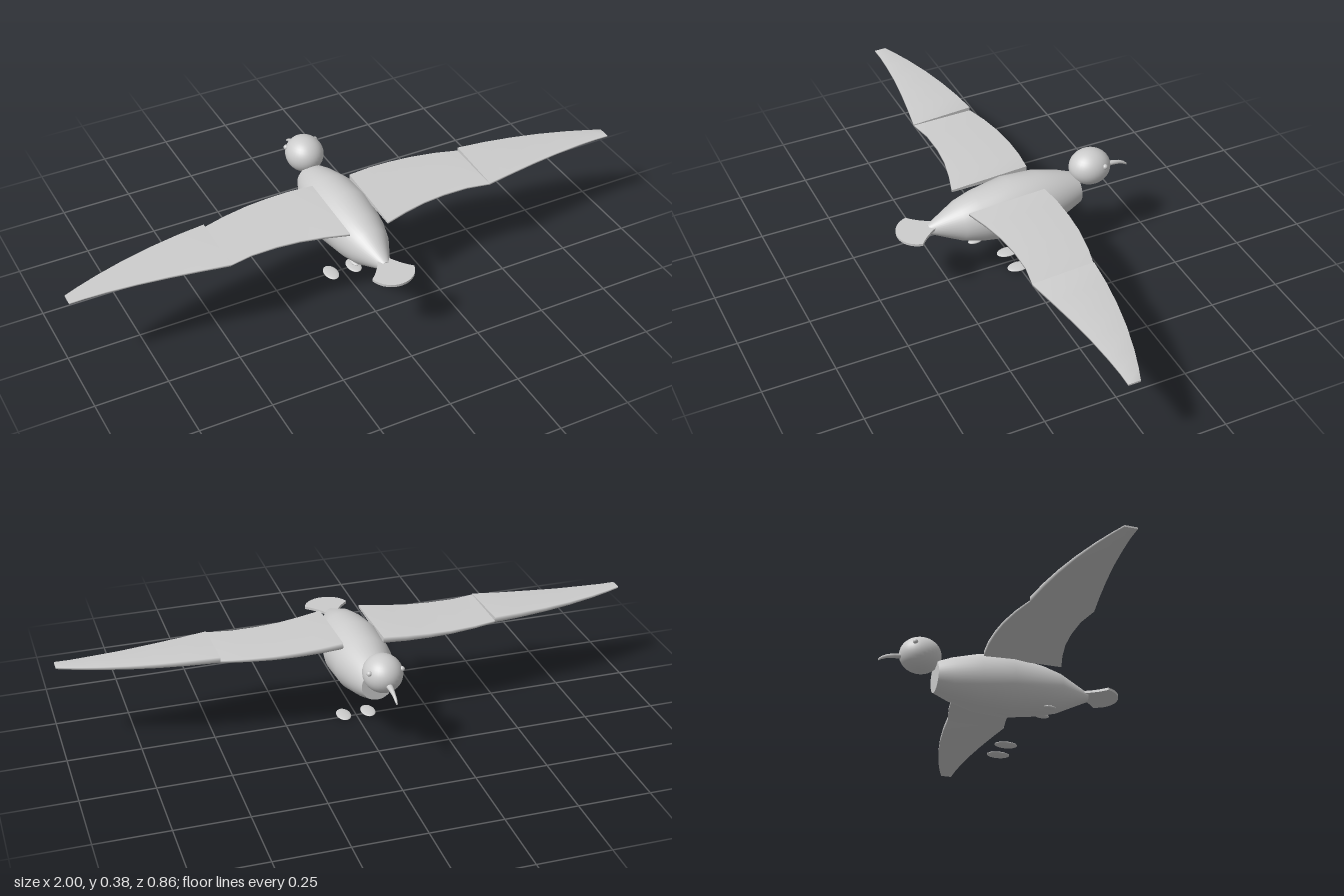
import * as THREE from 'three';

const plumage = new THREE.MeshStandardMaterial({ color: 0xcccccc });
plumage.name = 'pale grey';

function part(name, geometry, x = 0, y = 0, z = 0) {
  const mesh = new THREE.Mesh(geometry, plumage);
  mesh.name = name;
  mesh.position.set(x, y, z);
  return mesh;
}

function ellipsoid(name, rx, ry, rz, x, y, z) {
  return part(name, new THREE.SphereGeometry(1, 32, 20).scale(rx, ry, rz), x, y, z);
}

// Skin rings of points (anticlockwise about the loft direction), with flat end caps
function loft(rings) {
  const n = rings[0].length, last = rings.length - 1;
  const points = [...rings, rings[0], rings[last]].flat();
  const index = [];
  for (let i = 0; i < last; i++) {
    for (let j = 0; j < n; j++) {
      const k = (j + 1) % n;
      const a = i * n + j, b = i * n + k, c = a + n, d = b + n;
      index.push(a, b, d, a, d, c);
    }
  }
  const start = (last + 1) * n, end = start + n;
  for (let j = 1; j < n - 1; j++) {
    index.push(start, start + j + 1, start + j, end, end + j, end + j + 1);
  }
  const g = new THREE.BufferGeometry();
  g.setAttribute('position', new THREE.Float32BufferAttribute(points.flat(), 3));
  g.setIndex(index);
  g.computeVertexNormals();
  return g;
}

// Wing section from stations: [x, leading z, trailing z, leading top y, trailing top y]
function wingSection(name, stations, side) {
  const rings = stations.map(([x, zl, zt, yl, yt]) => {
    const ring = [[x, yl, zl], [x, yt, zt], [x, 0.311, zt], [x, 0.311, zl]]
      .map(([px, py, pz]) => [px * side, py, pz]);
    return side > 0 ? ring : ring.reverse();
  });
  return part(name, loft(rings), 0, 0, 0);
}

const innerWing = [
  [0.07, -0.08, 0.197, 0.332, 0.319],
  [0.15, -0.089, 0.173, 0.33, 0.319],
  [0.23, -0.091, 0.155, 0.327, 0.318],
  [0.31, -0.087, 0.147, 0.324, 0.318],
  [0.40, -0.073, 0.148, 0.321, 0.317],
  [0.48, -0.053, 0.163, 0.318, 0.316],
];
const outerWing = [
  [0.48, -0.052, 0.164, 0.331, 0.319],
  [0.58, -0.042, 0.146, 0.329, 0.318],
  [0.68, -0.027, 0.13, 0.326, 0.318],
  [0.78, -0.006, 0.117, 0.323, 0.317],
  [0.88, 0.022, 0.109, 0.32, 0.317],
  [0.95, 0.046, 0.106, 0.318, 0.316],
  [1.0, 0.066, 0.107, 0.317, 0.316],
];

export function createModel() {
  const bird = new THREE.Group();
  bird.name = 'bird';

  // Body turned about the z axis, closed at both ends
  const profile = [
    [0.054, -0.233], [0.075, -0.18], [0.099, -0.09], [0.106, 0.025],
    [0.088, 0.14], [0.07, 0.205], [0.016, 0.315],
  ].map(([r, z]) => new THREE.Vector2(r, z));
  bird.add(part('body', new THREE.LatheGeometry(profile, 40).rotateX(Math.PI / 2), 0, 0.243, 0));
  bird.add(part('breastCap', new THREE.CircleGeometry(0.054, 40).rotateY(Math.PI), 0, 0.243, -0.233));
  bird.add(part('rumpCap', new THREE.CircleGeometry(0.016, 40), 0, 0.243, 0.315));

  bird.add(ellipsoid('head', 0.066, 0.063, 0.073, 0, 0.317, -0.285));

  // Down-curved beak: [z, y, half width, half height]
  const beak = [
    [-0.345, 0.305, 0.012, 0.008], [-0.375, 0.303, 0.009, 0.008],
    [-0.4, 0.298, 0.006, 0.007], [-0.418, 0.29, 0.005, 0.006], [-0.43, 0.281, 0.003, 0.004],
  ].map(([z, y, w, h]) => Array.from({ length: 12 }, (_, j) => {
    const a = j * Math.PI / 6;
    return [w * Math.cos(a), y - h * Math.sin(a), z];
  }));
  bird.add(part('beak', loft(beak)));

  // Fan tail, plan drawn as x, z
  const fan = new THREE.Shape();
  fan.moveTo(-0.015, 0.285);
  fan.quadraticCurveTo(-0.04, 0.335, -0.077, 0.365);
  fan.bezierCurveTo(-0.055, 0.445, 0.055, 0.445, 0.077, 0.365);
  fan.quadraticCurveTo(0.04, 0.335, 0.015, 0.285);
  const tail = new THREE.ExtrudeGeometry(fan, { depth: 0.009, bevelEnabled: false, curveSegments: 16 });
  tail.rotateX(Math.PI / 2).translate(0, 0.009, -0.3).rotateX(0.04);
  bird.add(part('tail', tail, 0, 0.248, 0.3));

  // Paired parts
  for (const [side, label] of [[1, 'left'], [-1, 'right']]) {
    bird.add(wingSection(label + 'InnerWing', innerWing, side));
    bird.add(wingSection(label + 'OuterWing', outerWing, side));
    bird.add(ellipsoid(label + 'Eye', 0.009, 0.009, 0.009, side * 0.055, 0.339, -0.316));
    bird.add(ellipsoid(label + 'Leg', 0.014, 0.006, 0.025, side * 0.036, 0.168, 0.162));
    bird.add(ellipsoid(label + 'Foot', 0.025, 0.006, 0.039, side * 0.044, 0.006, 0.005));
  }
  return bird;
}
